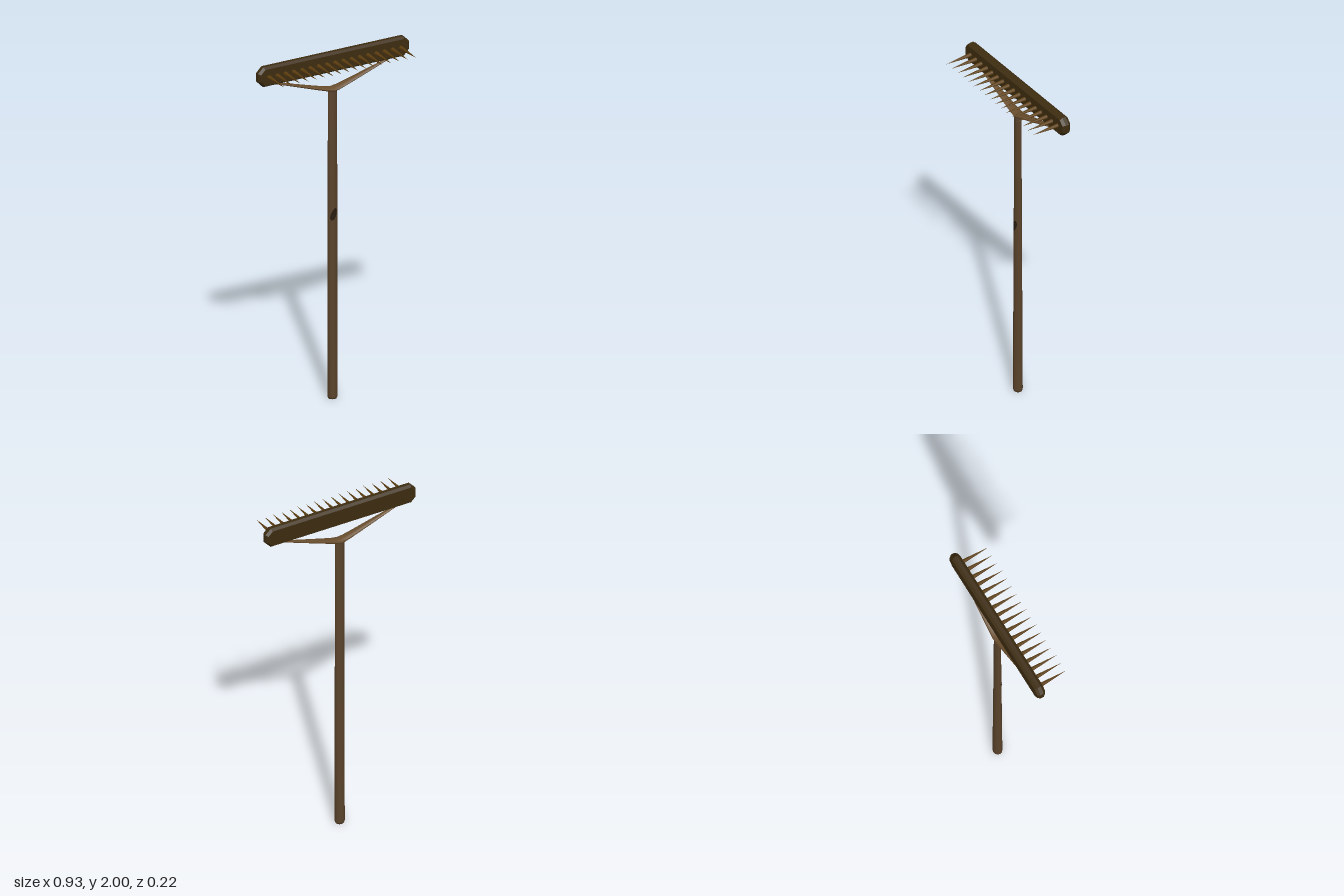
import * as THREE from 'three';

const Z = -0.08; // depth plane shared by the handle and head

function mat(name, color) {
  const m = new THREE.MeshStandardMaterial({ color });
  m.name = name;
  return m;
}

// Move every vertex of a geometry by a rule
function warp(geo, rule) {
  const p = geo.attributes.position;
  const v = new THREE.Vector3();
  for (let i = 0; i < p.count; i++) {
    v.fromBufferAttribute(p, i);
    rule(v);
    p.setXYZ(i, v.x, v.y, v.z);
  }
  geo.computeVertexNormals();
  return geo;
}

// Handle is an oval pole that gets thinner in depth towards the top
const HALF_W = 0.028, HANDLE_TOP = 1.79;
const halfDepth = (y) => 0.026 - 0.011 * (y / HANDLE_TOP);

export function createModel() {
  const group = new THREE.Group();
  const wood = mat('handleWood', 0x5a432b);
  const forkWood = mat('forkWood', 0x694d2d);
  const headWood = mat('headWood', 0x3d2c10);
  const toothWood = mat('toothWood', 0x5c3d0f);
  const knotWood = mat('knotWood', 0x281c10);

  const add = (name, geo, material, parent = group) => {
    const mesh = new THREE.Mesh(geo, material);
    mesh.name = name;
    parent.add(mesh);
    return mesh;
  };

  // Handle, with a slightly rounded foot
  const profile = [[0, 0], [0.85, 0], [1, 0.012], [1, 0.6], [1, 1.2], [1, HANDLE_TOP], [0, HANDLE_TOP]]
    .map(([r, y]) => new THREE.Vector2(r, y));
  const handleGeo = warp(new THREE.LatheGeometry(profile, 12), (v) => {
    v.x *= HALF_W;
    v.z = Z + v.z * halfDepth(v.y);
  });
  add('handle', handleGeo, wood);

  // Dark knot lying on the front of the handle
  const knotGeo = warp(new THREE.RingGeometry(0.0001, 1, 12, 4), (v) => {
    const x = -0.003 + v.x * 0.02;
    const y = 1.065 + v.y * 0.03 + v.x * 0.018;
    v.set(x, y, Z + halfDepth(y) * Math.sqrt(1 - (x / HALF_W) ** 2) + 0.0015);
  });
  add('knot', knotGeo, knotWood);

  // Fork: one bent bar, broad at the handle and tapering to both tips
  const forkGeo = new THREE.CylinderGeometry(1, 1, 0.74, 10, 24);
  forkGeo.rotateZ(-Math.PI / 2);
  warp(forkGeo, (v) => {
    const t = Math.abs(v.x) / 0.37;
    const rise = Math.hypot(t, 0.06) - 0.06;
    v.y = 1.783 + rise * 0.118 + v.y * (0.013 - 0.008 * t);
    v.z = Z + v.z * (0.03 - 0.024 * t);
  });
  add('fork', forkGeo, forkWood);

  // Head: octagonal beam with bevelled front and back edges
  const w = 0.454, h = 0.046, c = 0.026, b = 0.011;
  const outline = new THREE.Shape([
    [-w + c, -h], [w - c, -h], [w, -h + c], [w, h - c],
    [w - c, h], [-w + c, h], [-w, h - c], [-w, -h + c],
  ].map(([x, y]) => new THREE.Vector2(x, y)));
  const headGeo = new THREE.ExtrudeGeometry(outline, {
    depth: 0.02, bevelEnabled: true, bevelThickness: 0.015, bevelSize: b, bevelSegments: 1,
  });
  headGeo.translate(0, 1.943, Z - 0.01);
  add('head', headGeo, headWood);

  // Row of pointed teeth facing forwards
  const teeth = new THREE.Group();
  teeth.name = 'teeth';
  group.add(teeth);
  const toothGeo = new THREE.ConeGeometry(0.0125, 0.165, 8);
  toothGeo.rotateX(Math.PI / 2);
  for (let i = -8; i <= 8; i++) {
    add('tooth', toothGeo, toothWood, teeth).position.set(i * 0.0508, 1.943, 0.0225);
  }

  return group;
}
